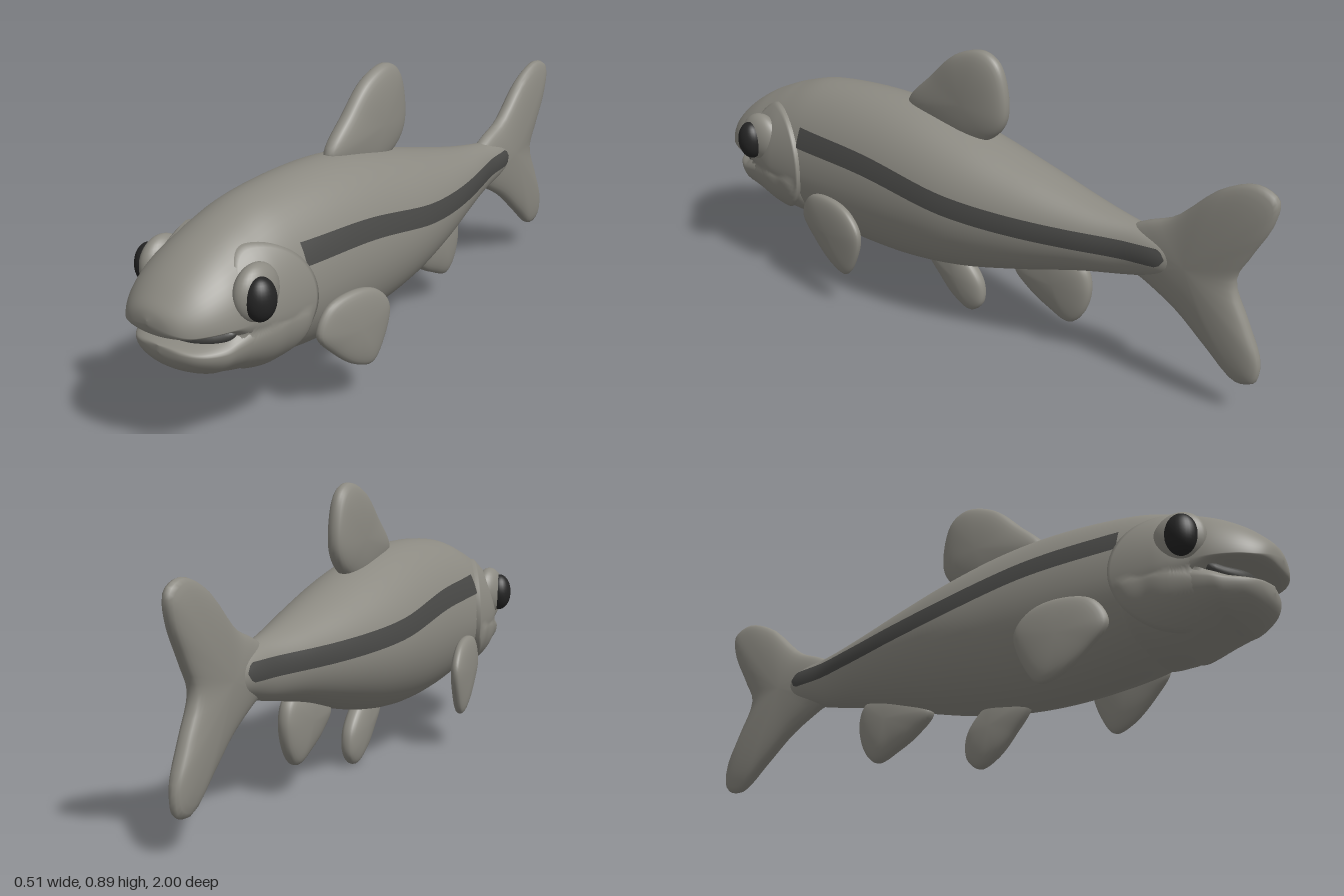
import * as THREE from 'three';
import { mergeVertices } from 'three/addons/utils/BufferGeometryUtils.js';

const mat = (name, color, side = THREE.FrontSide) => {
  const m = new THREE.MeshStandardMaterial({ color, side });
  m.name = name;
  return m;
};

// Smooth surface from fn(u, v) -> [x, y, z]; triangles are turned to face outward
function skin(nu, nv, fn) {
  const pos = [], idx = [];
  for (let j = 0; j <= nv; j++) for (let i = 0; i <= nu; i++) pos.push(...fn(i / nu, j / nv));
  for (let j = 0; j < nv; j++) for (let i = 0; i < nu; i++) {
    const a = j * (nu + 1) + i, b = a + 1, c = a + nu + 1, d = c + 1;
    idx.push(a, c, b, b, c, d);
  }
  let volume = 0;
  const p = [0, 1, 2].map(() => new THREE.Vector3());
  for (let i = 0; i < idx.length; i += 3) {
    p.forEach((v, k) => { v.fromArray(pos, idx[i + k] * 3); v.y -= 0.4; });
    volume += p[0].dot(p[1].clone().cross(p[2]));
  }
  if (volume < 0) idx.reverse();
  let g = new THREE.BufferGeometry();
  g.setAttribute('position', new THREE.Float32BufferAttribute(pos, 3));
  g.setIndex(idx);
  g = mergeVertices(g, 1e-5);
  g.computeVertexNormals();
  return g;
}

// Cross-sections: [z, top, widest height, bottom, half width]
const BODY = [
  [1, .43, .425, .42, 0], [.99, .46, .41, .392, .07], [.965, .49, .40, .383, .115],
  [.92, .53, .40, .38, .15], [.86, .57, .40, .372, .175], [.8, .60, .40, .30, .185],
  [.72, .632, .40, .235, .193], [.6, .665, .40, .185, .2], [.4, .68, .41, .157, .205],
  [.2, .67, .41, .157, .205], [0, .63, .41, .185, .195], [-.2, .578, .415, .235, .16],
  [-.4, .528, .42, .292, .108], [-.55, .50, .42, .325, .066], [-.68, .48, .42, .36, .047],
  [-.78, .45, .42, .39, 0],
];
const JAW = [
  [.967, .35, .34, .33, 0], [.957, .352, .335, .302, .07], [.93, .355, .33, .272, .12],
  [.88, .37, .33, .243, .158], [.84, .40, .34, .232, .174], [.78, .43, .35, .213, .187],
  [.68, .45, .36, .19, .195], [.58, .42, .36, .21, .185], [.54, .37, .35, .33, 0],
];
const MOUTH = [
  [.925, .39, .365, .34, 0], [.915, .395, .365, .335, .07], [.88, .40, .367, .33, .13],
  [.84, .41, .38, .33, .16], [.78, .40, .38, .34, .1], [.76, .39, .38, .37, 0],
];

function section(list, t) {
  const n = list.length - 1, f = t * n, i = Math.min(Math.floor(f), n - 1), s = f - i;
  const at = k => list[Math.max(0, Math.min(n, k))];
  return list[0].map((_, k) => {
    const [a, b, c, d] = [at(i - 1)[k], at(i)[k], at(i + 1)[k], at(i + 2)[k]];
    return b + .5 * s * (c - a + s * (2 * a - 5 * b + 4 * c - d + s * (3 * (b - c) + d - a)));
  });
}
const loft = (list, nu, nv) => skin(nu, nv, (u, v) => {
  const [z, top, mid, bot, w] = section(list, v);
  const a = (u % 1) * Math.PI * 2, s = Math.sin(a);
  return [w * Math.cos(a), mid + s * (s > 0 ? top - mid : mid - bot), z];
});

// Half width of a loft at a given height and depth
function halfWidth(list, y, z) {
  if (z > list[0][0] || z < list[list.length - 1][0]) return 0;
  let lo = 0, hi = 1;
  for (let i = 0; i < 24; i++) {
    const m = (lo + hi) / 2;
    if (section(list, m)[0] > z) lo = m; else hi = m;
  }
  const [, top, mid, bot, w] = section(list, lo);
  const q = (y - mid) / (y > mid ? top - mid : mid - bot);
  return w * Math.sqrt(Math.max(0, 1 - q * q));
}

// Pillowy fin from an outline of [z, y] points around a centre
function fin(outline, [cz, cy], thick, xAt = () => 0, side = 1) {
  const curve = new THREE.CatmullRomCurve3(outline.map(([z, y]) => new THREE.Vector3(0, y, z)), true);
  return skin(64, 20, (u, v) => {
    const p = curve.getPoint(u % 1), a = v * Math.PI;
    const r = v === 1 ? 0 : Math.sin(a), c = Math.cos(a);
    const z = cz + (p.z - cz) * r, y = cy + (p.y - cy) * r;
    return [side * (xAt(z) + thick * Math.sign(c) * Math.abs(c) ** .75), y, z];
  });
}

const DORSAL = [[.265, .665], [.17, .78], [.08, .862], [-.02, .893], [-.075, .868], [-.105, .8],
  [-.108, .69], [-.06, .625], [.08, .58]];
const TAIL = [[-.54, .47], [-.6, .51], [-.69, .55], [-.825, .672], [-.93, .713], [-.993, .685], [-.985, .61],
  [-.93, .5], [-.89, .41], [-.94, .29], [-.985, .18], [-.975, .115], [-.92, .1], [-.83, .17],
  [-.72, .262], [-.61, .325], [-.54, .36]];
const PELVIC = [[.2, .18], [.14, .09], [.08, .03], [.02, .004], [-.022, .04], [-.022, .11], [.03, .18], [.11, .23]];
const ANAL = [[-.15, .225], [-.205, .165], [-.285, .12], [-.36, .095], [-.405, .14], [-.427, .235],
  [-.4, .3], [-.28, .32]];
const PECTORAL = [[.56, .27], [.52, .345], [.41, .365], [.33, .34], [.285, .28], [.31, .18],
  [.355, .12], [.42, .135], [.505, .2]];
const STRIPE = [[.59, .52], [.3, .505], [-.02, .455], [-.29, .435], [-.5, .43], [-.69, .43]];

export function createModel() {
  const skinMat = mat('grey skin', 0x8c8a82);
  const stripeMat = mat('dark stripe', 0x484846, THREE.DoubleSide);
  const eyeMat = mat('eye black', 0x242424);
  const gillMat = mat('gill grey', 0x8c8a82, THREE.DoubleSide);
  const fish = new THREE.Group();
  fish.name = 'fish';
  const add = (name, geometry, material = skinMat) => {
    const m = new THREE.Mesh(geometry, material);
    m.name = name;
    fish.add(m);
    return m;
  };

  add('body', loft(BODY, 56, 110));
  add('lowerJaw', loft(JAW, 48, 50));
  add('mouth', loft(MOUTH, 32, 24), stripeMat);

  // Fins on the centre line
  add('dorsalFin', fin(DORSAL, [.03, .72], .044));
  add('tailFin', fin(TAIL, [-.75, .42], .042));
  add('pelvicFin', fin(PELVIC, [.07, .12], .036));
  add('analFin', fin(ANAL, [-.31, .22], .04));

  const path = new THREE.CatmullRomCurve3(STRIPE.map(([z, y]) => new THREE.Vector3(0, y, z)));
  for (const s of [1, -1]) {
    const label = s > 0 ? 'left' : 'right';
    add(label + 'PectoralFin', fin(PECTORAL, [.42, .25], .03, z => .2 + (.55 - z) * .14, s));

    // Gill cover: raised disc that fades into the face and steps down behind
    add(label + 'GillCover', skin(64, 20, (u, v) => {
      const a = (u % 1) * Math.PI * 2, r = Math.min(1, v / .9);
      const z = .74 + Math.cos(a) * r * (Math.cos(a) < 0 ? .17 : .1);
      const y = .405 + Math.sin(a) * r * .18;
      const lift = .016 * THREE.MathUtils.smoothstep(.84 - z, 0, .14) - .003;
      const x = Math.max(halfWidth(BODY, y, z), halfWidth(JAW, y, z));
      return [s * (x + (v > .95 ? -.02 : lift)), y, z];
    }), gillMat);

    // Side stripe lying just above the skin, rounded at the tail end
    add(label + 'Stripe', skin(8, 70, (u, v) => {
      const p = path.getPoint(v);
      const end = Math.sqrt(Math.min(1, (1 - v) / .025));
      const y = p.y + (u - .5) * (.064 - .01 * v) * end;
      const base = Math.max(halfWidth(BODY, y, p.z), p.z < -.6 ? .042 : 0);
      return [s * (base + .004), y, p.z];
    }), stripeMat);

    // Eye in a raised socket
    const socket = add(label + 'EyeSocket', new THREE.SphereGeometry(1, 32, 20));
    socket.scale.set(.045, .082, .08);
    socket.position.set(s * .168, .472, .77);
    const eye = add(label + 'Eye', new THREE.SphereGeometry(1, 28, 18), eyeMat);
    eye.scale.set(.04, .062, .046);
    eye.position.set(s * .2, .468, .79);
    eye.rotation.y = -s * .25;
  }
  return fish;
}
